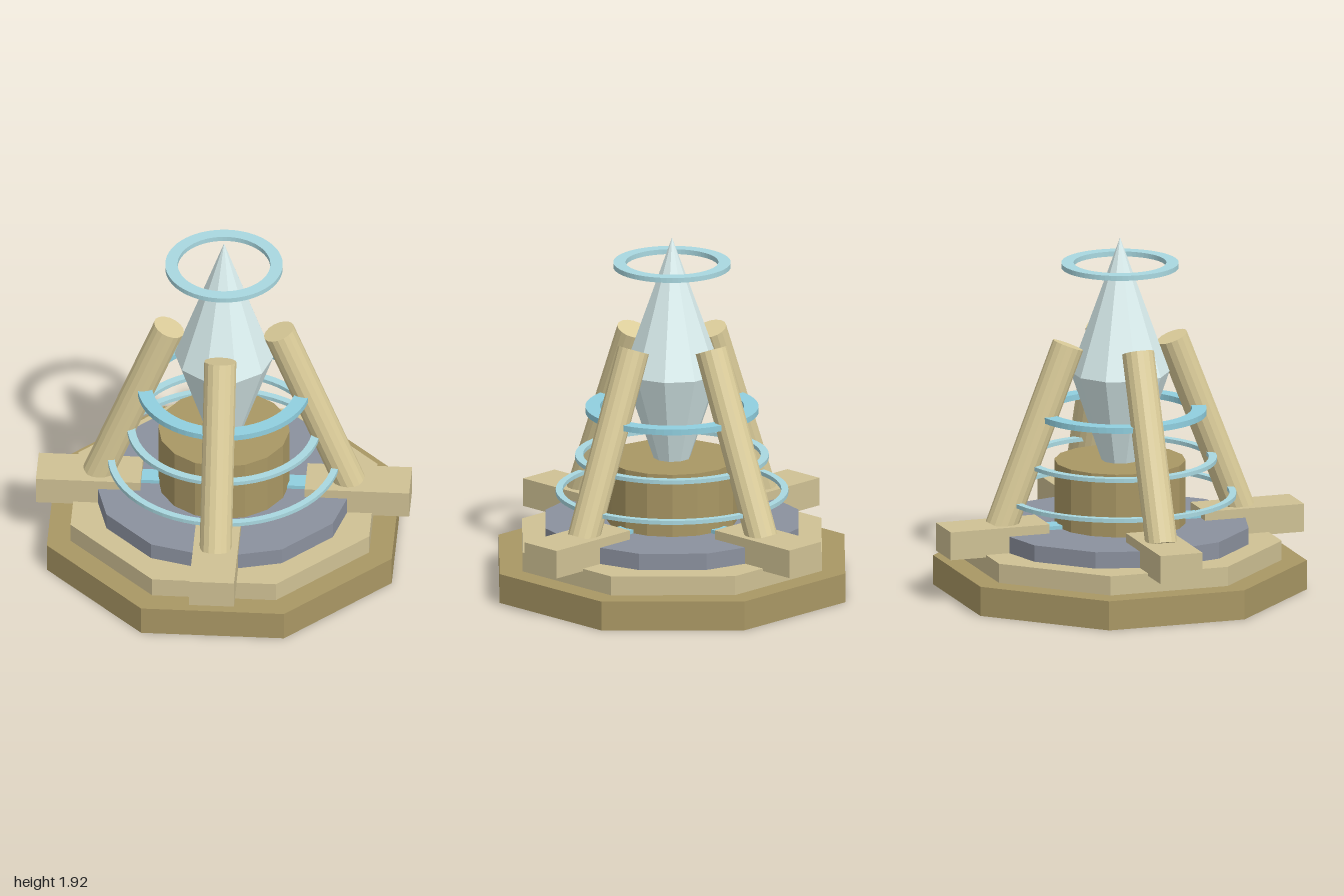
import * as THREE from 'three';

const mat = (color, flatShading = true) => new THREE.MeshStandardMaterial({ color, flatShading });
const darkSand = mat(0xa99764);
const sand = mat(0xcfc194);
const slate = mat(0x8b919e);
const pillar = mat(0xdccd9a);
const crystalMat = mat(0xdaeeee);
const paleBlue = mat(0xa9d8e0, false);
const brightBlue = mat(0x90cfdf, false);

export function createModel() {
  const model = new THREE.Group();

  const add = (name, geometry, material, parent = model) => {
    const mesh = new THREE.Mesh(geometry, material);
    mesh.name = name;
    parent.add(mesh);
    return mesh;
  };

  // upright prism or cone between two heights
  const prism = (name, rTop, rBottom, y0, y1, sides, turn, material, parent) => {
    const g = new THREE.CylinderGeometry(rTop, rBottom, y1 - y0, sides);
    g.rotateY(turn);
    g.translate(0, (y0 + y1) / 2, 0);
    return add(name, g, material, parent);
  };

  // stepped plinth and drum
  prism('lowerStep', 1, 1, 0, 0.16, 8, Math.PI / 8, darkSand);
  prism('upperStep', 0.866, 0.866, 0.16, 0.265, 8, Math.PI / 8, sand);
  prism('slateStep', 0.7, 0.7, 0.265, 0.355, 12, 0, slate);
  prism('drum', 0.352, 0.352, 0.355, 0.7, 16, 0, darkSand);

  // crystal: two ten-sided cones, the lower tip sunk into the drum
  const crystal = new THREE.Group();
  crystal.name = 'crystal';
  model.add(crystal);
  prism('crystalTop', 0, 0.265, 1.185, 1.92, 10, Math.PI / 2, crystalMat, crystal);
  prism('crystalBottom', 0.265, 0, 0.41, 1.185, 10, Math.PI / 2, crystalMat, crystal);

  // flat floating rings: name, outer radius, inner radius, bottom, height
  const rings = [
    ['lowRing', 0.622, 0.585, 0.5, 0.022, paleBlue],
    ['middleRing', 0.518, 0.475, 0.695, 0.022, paleBlue],
    ['wideRing', 0.463, 0.385, 0.952, 0.032, brightBlue],
    ['topRing', 0.314, 0.248, 1.757, 0.027, paleBlue],
  ];
  for (const [name, outer, inner, y, depth, material] of rings) {
    const shape = new THREE.Shape().absarc(0, 0, outer, 0, Math.PI * 2, false);
    shape.holes.push(new THREE.Path().absarc(0, 0, inner, 0, Math.PI * 2, true));
    const g = new THREE.ExtrudeGeometry(shape, { depth, bevelEnabled: false, curveSegments: 32 });
    g.rotateX(-Math.PI / 2);
    add(name, g, material).position.y = y;
  }

  // four supports: foot beam, leaning pillar and inlaid strip
  const foot = new THREE.Vector3(0.674, 0.385, 0);
  const head = new THREE.Vector3(0.294, 1.353, 0);
  const axis = head.clone().sub(foot);
  for (let i = 0; i < 4; i++) {
    const support = new THREE.Group();
    support.name = 'support' + (i + 1);
    support.rotation.y = (i * Math.PI) / 2;
    model.add(support);

    add('footBeam', new THREE.BoxGeometry(0.56, 0.153, 0.24), sand, support).position.set(0.72, 0.328, 0);
    add('inlaidStrip', new THREE.BoxGeometry(0.14, 0.025, 0.1), brightBlue, support).position.set(0.4, 0.363, 0);

    const leg = add('pillar', new THREE.CylinderGeometry(0.086, 0.086, axis.length(), 16), pillar, support);
    leg.position.addVectors(foot, head).multiplyScalar(0.5);
    leg.quaternion.setFromUnitVectors(new THREE.Vector3(0, 1, 0), axis.clone().normalize());
  }

  return model;
}
